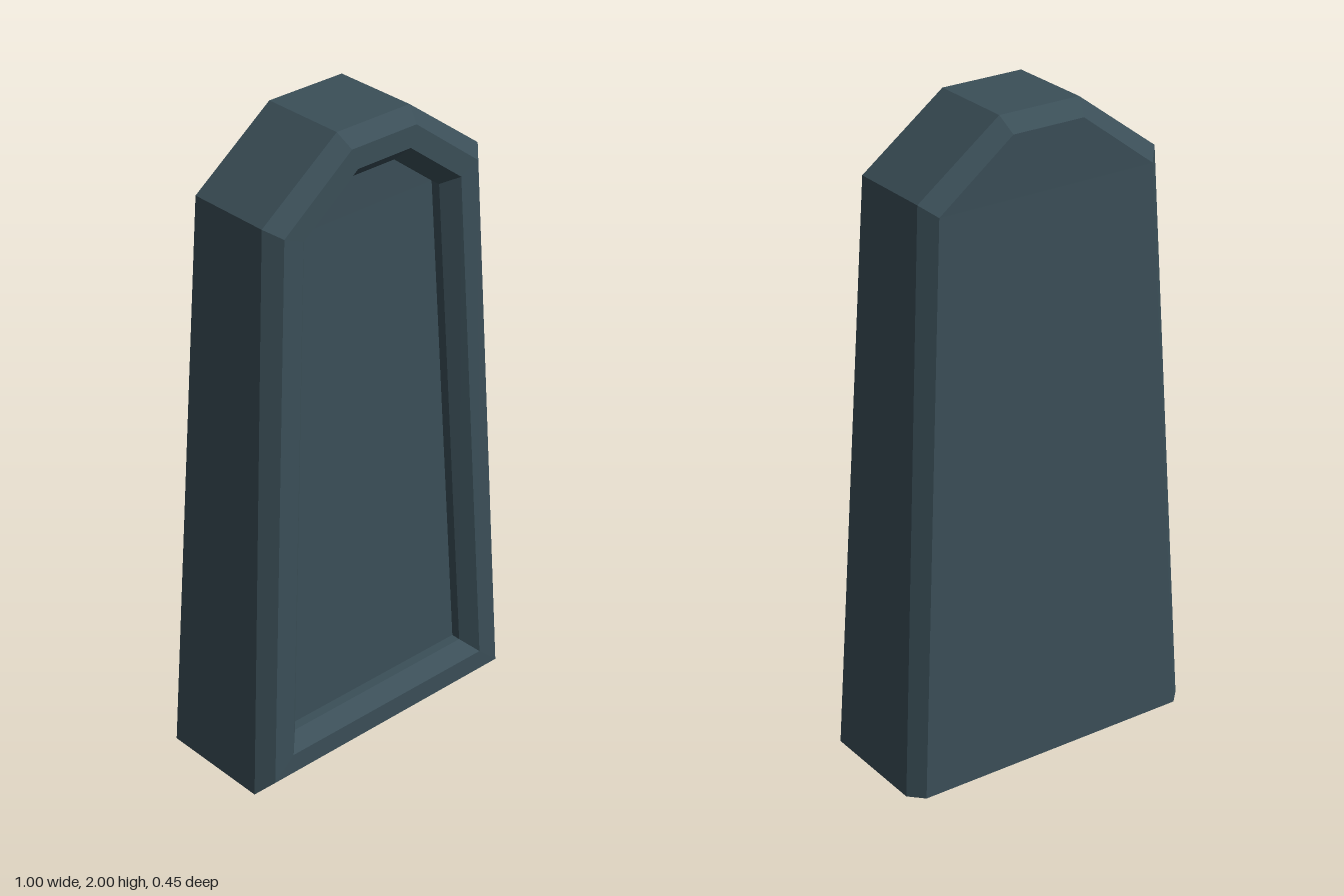
import * as THREE from 'three';

// Six-cornered tapered outline, counter-clockwise from the front.
// hb: half width at base, hs: at shoulder, ht: at top; zb / zt: depth at base / above shoulder.
function outline({ hb, yb, hs, ys, ht, yt, zb, zt }) {
  return [
    [-hb, yb, zb], [hb, yb, zb], [hs, ys, zt],
    [ht, yt, zt], [-ht, yt, zt], [-hs, ys, zt],
  ];
}

function makeGeometry(quads) {
  const positions = [];
  for (const [a, b, c, d] of quads) positions.push(...a, ...b, ...c, ...a, ...c, ...d);
  const geometry = new THREE.BufferGeometry();
  geometry.setAttribute('position', new THREE.Float32BufferAttribute(positions, 3));
  geometry.computeVertexNormals();
  return geometry;
}

// Band of quads joining one outline to the next
const band = (inner, outer) => inner.map((p, i) => {
  const j = (i + 1) % inner.length;
  return [p, outer[i], outer[j], inner[j]];
});

// Flat cap: trunk below the shoulder, crown above it
const cap = (o) => [[o[0], o[1], o[2], o[5]], [o[5], o[2], o[3], o[4]]];
const flip = (quads) => quads.map((q) => [...q].reverse());

export function createModel() {
  const group = new THREE.Group();
  group.name = 'taperedSlab';
  const slate = new THREE.MeshStandardMaterial({ color: 0x3b4f58, flatShading: true });
  slate.name = 'slate';

  // The slab stands very slightly turned
  const add = (name, quads) => {
    const mesh = new THREE.Mesh(makeGeometry(quads), slate);
    mesh.name = name;
    mesh.rotation.y = 0.008;
    group.add(mesh);
  };

  // Recess: a sloped wall, then a short straight step down to the floor
  const inset = { hb: 0.337, yb: 0.153, hs: 0.25, ys: 1.722, ht: 0.08, yt: 1.853 };
  const floor = outline({ ...inset, zb: 0.147, zt: 0.105 });
  const step = outline({ ...inset, zb: 0.177, zt: 0.135 });
  const lip = outline({ hb: 0.382, yb: 0.11, hs: 0.291, ys: 1.747, ht: 0.096, yt: 1.897, zb: 0.222, zt: 0.18 });
  const face = outline({ hb: 0.454, yb: 0.045, hs: 0.357, ys: 1.776, ht: 0.117, yt: 1.96, zb: 0.222, zt: 0.179 });

  const rim = { hb: 0.498, yb: 0, hs: 0.397, ys: 1.803, ht: 0.132, yt: 2 };
  const frontRim = outline({ ...rim, zb: 0.179, zt: 0.135 });
  const backRim = outline({ ...rim, zb: -0.181, zt: -0.136 });
  // The back chamfer runs down to the ground
  const back = outline({ hb: 0.456, yb: 0, hs: 0.357, ys: 1.772, ht: 0.117, yt: 1.955, zb: -0.224, zt: -0.18 });

  add('recessFloor', cap(floor));
  add('recessStep', band(floor, step));
  add('recessSlope', band(step, lip));
  add('frontFrame', band(lip, face));
  add('frontChamfer', band(face, frontRim));
  add('sides', band(frontRim, backRim));
  add('backChamfer', band(backRim, back));
  add('backFace', flip(cap(back)));
  return group;
}
